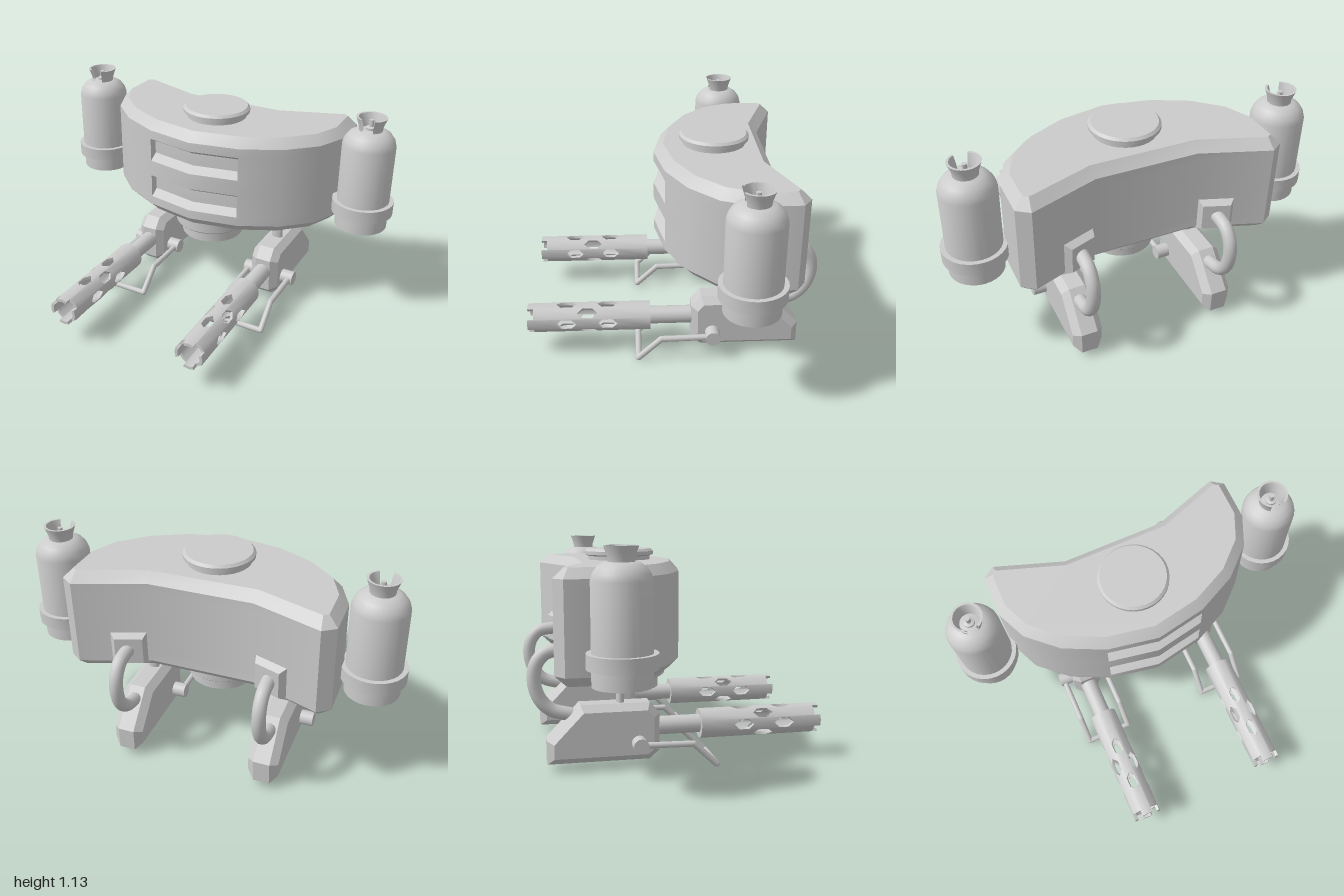
import * as THREE from 'three';
import { toCreasedNormals, mergeGeometries } from 'three/addons/utils/BufferGeometryUtils.js';

const grey = new THREE.MeshStandardMaterial({ color: 0xcccccc });
const greyThin = new THREE.MeshStandardMaterial({ color: 0xcccccc, side: THREE.DoubleSide });

function add(parent, name, geo, x = 0, y = 0, z = 0, mat = grey) {
  const mesh = new THREE.Mesh(geo, mat);
  mesh.name = name;
  mesh.position.set(x, y, z);
  parent.add(mesh);
  return mesh;
}
const lathe = (pts, seg = 28) =>
  toCreasedNormals(new THREE.LatheGeometry(pts.map(p => new THREE.Vector2(...p)), seg), 0.6);

// Round rod between two points, with a ball at its end
function rod(parent, name, a, b, r) {
  const A = new THREE.Vector3(...a), B = new THREE.Vector3(...b), d = B.clone().sub(A);
  const m = add(parent, name, new THREE.CylinderGeometry(r, r, d.length(), 12));
  m.position.copy(A).addScaledVector(d, 0.5);
  m.quaternion.setFromUnitVectors(new THREE.Vector3(0, 1, 0), d.normalize());
  add(parent, name + 'Joint', new THREE.SphereGeometry(r, 12, 8), ...b);
}

// Crescent hull: plan outline lofted through height bands, bevelled top and bottom, two front slots
function hullGeometry() {
  const half = [[0.265, 0.03], [0.47, -0.07], [0.62, -0.21], [0.69, -0.37], [0.69, -0.59], [0.625, -0.635], [0.27, -0.51]];
  const outline = [[0, 0.08], ...half, ...half.slice().reverse().map(([x, z]) => [-x, z])];
  const n = outline.length;
  // inset each corner along its mitre
  const inset = outline.map(([x, z], i) => {
    const p = outline[(i + n - 1) % n], q = outline[(i + 1) % n];
    const unit = (a, b) => { const l = Math.hypot(a, b); return [a / l, b / l]; };
    const [ax, az] = unit(x - p[0], z - p[1]), [bx, bz] = unit(q[0] - x, q[1] - z);
    const k = 0.048 / (1 + ax * bx + az * bz);
    return [x + (az + bz) * k, z - (ax + bx) * k];
  });
  const pos = [];
  const tri = (...v) => v.forEach(p => pos.push(...p));
  const quad = (a, b, c, d) => { tri(a, b, c); tri(a, c, d); };
  const at = (p, y, depth = 0) => [p[0], y, p[1] - depth];
  const levels = [0.48, 0.53, 0.58, 0.71, 0.80, 0.93, 0.98, 1.03];
  for (let k = 0; k < levels.length - 1; k++) {
    const y0 = levels[k], y1 = levels[k + 1];
    const lo = k === 0 ? inset : outline, hi = k === 6 ? inset : outline;
    const slot = k === 2 || k === 4;
    const profile = slot ? [[y0, 0], [y0 + 0.03, 0.05], [y1 - 0.03, 0.05], [y1, 0]] : null;
    for (let i = 0; i < n; i++) {
      const j = (i + 1) % n;
      if (!slot || (i !== 0 && i !== n - 1)) {
        quad(at(lo[i], y0), at(lo[j], y0), at(hi[j], y1), at(hi[i], y1));
        continue;
      }
      for (let s = 0; s < 3; s++) {
        const [a, b] = [profile[s], profile[s + 1]];
        quad(at(lo[i], ...a), at(lo[j], ...a), at(lo[j], ...b), at(lo[i], ...b));
      }
      const end = profile.map(p => at(i === 0 ? lo[j] : lo[i], ...p));
      quad(...(i === 0 ? end.reverse() : end));
    }
  }
  const flat = inset.map(([x, z]) => new THREE.Vector2(x, -z));
  for (const [a, b, c] of THREE.ShapeUtils.triangulateShape(flat, [])) {
    tri(at(inset[a], 1.03), at(inset[b], 1.03), at(inset[c], 1.03));
    tri(at(inset[c], 0.48), at(inset[b], 0.48), at(inset[a], 0.48));
  }
  const g = new THREE.BufferGeometry();
  g.setAttribute('position', new THREE.Float32BufferAttribute(pos, 3));
  return toCreasedNormals(g, 0.5);
}

// Perforated barrel jacket: eight bent strips with staggered hexagonal holes and a toothed muzzle
function jacketGeometry() {
  const strips = [], w = Math.PI / 8;
  for (let c = 0; c < 8; c++) {
    const end = c % 2 ? 0.725 : 0.757;
    const shape = new THREE.Shape([-1, 0, 1].map(s => new THREE.Vector2(s * w, 0.115))
      .concat([1, 0, -1].map(s => new THREE.Vector2(s * w, end))));
    for (const z of c % 2 ? [0.445] : [0.34, 0.555]) {
      shape.holes.push(new THREE.Path([[0, 0.052], [0.35, 0.026], [0.35, -0.026], [0, -0.052], [-0.35, -0.026], [-0.35, 0.026]]
        .map(([a, h]) => new THREE.Vector2(a, z + h))));
    }
    const g = new THREE.ExtrudeGeometry(shape, { depth: 0.016, bevelEnabled: false });
    const p = g.attributes.position;
    for (let i = 0; i < p.count; i++) {
      const t = p.getX(i) + c * Math.PI / 4, r = 0.061 + p.getZ(i);
      p.setXYZ(i, -r * Math.sin(t), r * Math.cos(t), p.getY(i));
    }
    strips.push(g);
  }
  return toCreasedNormals(mergeGeometries(strips), 0.85);
}

function buildTank(side) {
  const tank = new THREE.Group();
  tank.name = side > 0 ? 'leftTank' : 'rightTank';
  tank.position.set(side * 0.834, 0, -0.348);
  add(tank, 'tankBody', lathe([[0, 0.517], [0.139, 0.517], [0.139, 0.985], [0.13, 1.015], [0.11, 1.043], [0.08, 1.063], [0, 1.07]]));
  add(tank, 'tankBand', lathe([[0.13, 0.597], [0.163, 0.597], [0.163, 0.667], [0.13, 0.667]]));
  // flared guard open at the front
  const guard = [[0.06, 1.055], [0.063, 1.085], [0.08, 1.135], [0.068, 1.135], [0.052, 1.085], [0.05, 1.055]];
  add(tank, 'valveGuard', toCreasedNormals(new THREE.LatheGeometry(
    guard.map(p => new THREE.Vector2(...p)), 24, 0.5, Math.PI * 2 - 1), 0.6), 0, 0, 0, greyThin);
  add(tank, 'valveStem', lathe([[0.028, 1.06], [0.028, 1.08], [0.013, 1.085], [0.013, 1.12], [0, 1.12]], 12));
  return tank;
}

function buildGun(side) {
  const gun = new THREE.Group();
  gun.name = side > 0 ? 'leftGun' : 'rightGun';
  gun.position.x = side * 0.375;

  // swivel mount under the hull
  add(gun, 'mountFlange', new THREE.CylinderGeometry(0.12, 0.12, 0.025, 24), 0, 0.4775, -0.295);
  add(gun, 'mountCollar', new THREE.CylinderGeometry(0.063, 0.063, 0.06, 20), 0, 0.45, -0.295);
  add(gun, 'mountShaft', new THREE.CylinderGeometry(0.032, 0.032, 0.12, 16), 0, 0.37, -0.295).scale.z = 0.62;

  // receiver with chamfered edges
  const side2d = [[-0.15, 0.04], [-0.667, 0.04], [-0.667, 0.16], [-0.5, 0.335], [-0.15, 0.335], [-0.1, 0.275], [-0.1, 0.085]];
  const receiver = new THREE.ExtrudeGeometry(new THREE.Shape(side2d.map(p => new THREE.Vector2(...p))), {
    depth: 0.085, bevelThickness: 0.037, bevelSize: 0.034, bevelOffset: -0.034, bevelSegments: 1 });
  receiver.translate(0, 0, -0.0425).rotateY(-Math.PI / 2);
  add(gun, 'receiver', receiver);

  // barrel and jacket
  add(gun, 'barrel', new THREE.CylinderGeometry(0.047, 0.047, 0.24, 20).rotateX(Math.PI / 2), 0, 0.2, 0.0);
  add(gun, 'jacketRearCap', new THREE.CylinderGeometry(0.076, 0.076, 0.012, 16).rotateX(Math.PI / 2), 0, 0.2, 0.121);
  add(gun, 'barrelJacket', jacketGeometry(), 0, 0.2, 0);

  // folding stirrup on a cross pivot
  add(gun, 'pivot', new THREE.CylinderGeometry(0.039, 0.039, 0.3, 20).rotateZ(Math.PI / 2), 0, 0.135, -0.21);
  const path = [[0.125, 0.135, -0.21], [0.125, 0.13, 0.06], [0.125, 0.017, 0.18],
    [-0.125, 0.017, 0.18], [-0.125, 0.13, 0.06], [-0.125, 0.135, -0.21]];
  for (let i = 0; i < path.length - 1; i++) rod(gun, 'stirrup', path[i], path[i + 1], 0.016);

  // feed hose from the hull back to the receiver
  const hose = [[0.61, -0.53], [0.61, -0.6], [0.595, -0.665], [0.54, -0.71], [0.46, -0.722], [0.37, -0.697], [0.31, -0.64], [0.28, -0.54]];
  const curve = new THREE.CatmullRomCurve3(hose.map(([y, z]) => new THREE.Vector3(0, y, z)));
  add(gun, 'hose', new THREE.TubeGeometry(curve, 28, 0.035, 14));
  const plate = new THREE.CylinderGeometry(0.1, 0.15, 0.06, 4).toNonIndexed();
  plate.rotateY(Math.PI / 4).rotateX(-Math.PI / 2);
  plate.computeVertexNormals();
  add(gun, 'hosePlate', plate, 0, 0.61, -0.552).rotation.y = side * 0.34;
  return gun;
}

export function createModel() {
  const model = new THREE.Group();
  model.name = 'hoverTurret';
  add(model, 'hull', hullGeometry());
  add(model, 'topHatch', lathe([[0.165, 1.02], [0.165, 1.05], [0.183, 1.057], [0.183, 1.075], [0.17, 1.088], [0, 1.088]], 32), 0, 0, -0.24);
  add(model, 'bottomHub', lathe([[0, 0.335], [0.175, 0.335], [0.175, 0.4], [0.2, 0.4], [0.211, 0.41], [0.211, 0.5]], 32), 0, 0, -0.207);
  for (const side of [1, -1]) model.add(buildTank(side), buildGun(side));
  return model;
}
